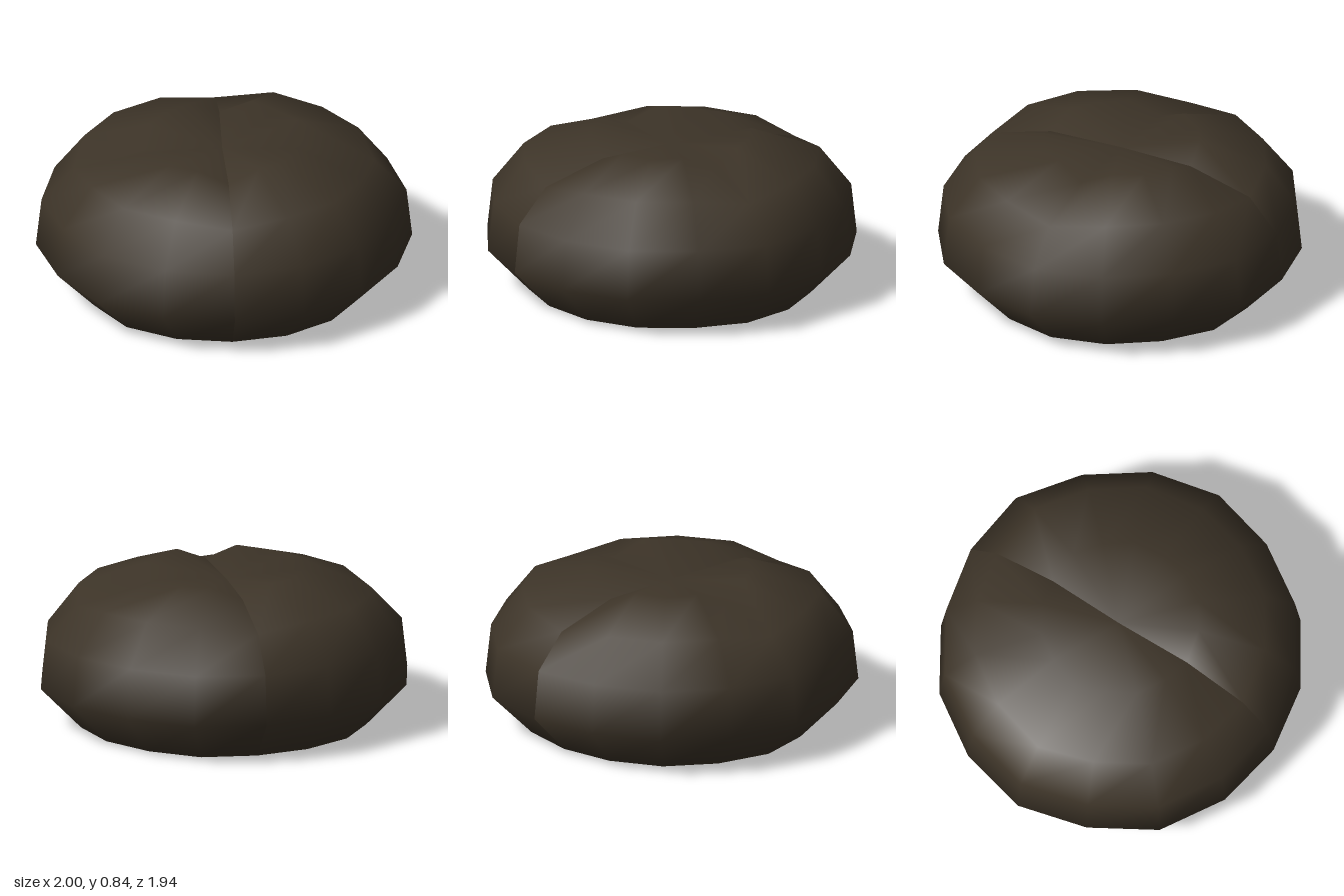
import * as THREE from 'three';

const SIDES = 16;
// slightly uneven outline, counted from +z towards +x
const OUTLINE = [0.97, 0.975, 0.98, 0.975, 1, 0.99, 0.98, 1, 0.97, 0.965, 0.98, 0.98, 1, 0.98, 1, 0.98];
// rings from base to crown: radius, then height on the groove, beside it and mid-lobe
const RINGS = [
  [0.78, 0, 0, 0],
  [1, 0.225, 0.225, 0.225],
  [0.97, 0.49, 0.495, 0.495],
  [0.8, 0.672, 0.712, 0.712],
  [0.435, 0.768, 0.837, 0.828],
];

// one half of the bun, closed at the base and at the dimple of the crown
function halfGeometry(start) {
  const steps = SIDES / 2, row = steps + 1;
  const positions = [], indices = [];
  for (const [radius, ...heights] of RINGS) {
    for (let j = 0; j <= steps; j++) {
      const k = (start + j) % SIDES;
      const angle = (k / SIDES) * Math.PI * 2;
      const r = radius * OUTLINE[k];
      const fromGroove = Math.min(k % 4, 4 - (k % 4));
      positions.push(Math.sin(angle) * r, heights[fromGroove], Math.cos(angle) * r);
    }
  }
  const base = positions.length / 3, crown = base + 1;
  positions.push(0, 0, 0, -0.01, 0.772, 0);

  for (let j = 0; j < steps; j++) {
    indices.push(base, j + 1, j);
    for (let i = 0; i < RINGS.length - 1; i++) {
      const a = i * row + j, b = a + 1, c = a + row, d = c + 1;
      indices.push(a, b, d, a, d, c);
    }
    const top = (RINGS.length - 1) * row + j;
    indices.push(top, top + 1, crown);
  }

  const geometry = new THREE.BufferGeometry();
  geometry.setAttribute('position', new THREE.Float32BufferAttribute(positions, 3));
  geometry.setIndex(indices);
  geometry.computeVertexNormals();
  return geometry;
}

export function createModel() {
  const group = new THREE.Group();
  group.name = 'crossGroovedBun';
  const darkBrown = new THREE.MeshStandardMaterial({ color: 0x3d3428 });
  darkBrown.name = 'darkBrown';

  // two halves meet in a soft seam along the z axis
  [['leftHalf', 0], ['rightHalf', SIDES / 2]].forEach(([name, start]) => {
    const half = new THREE.Mesh(halfGeometry(start), darkBrown);
    half.name = name;
    group.add(half);
  });
  return group;
}
